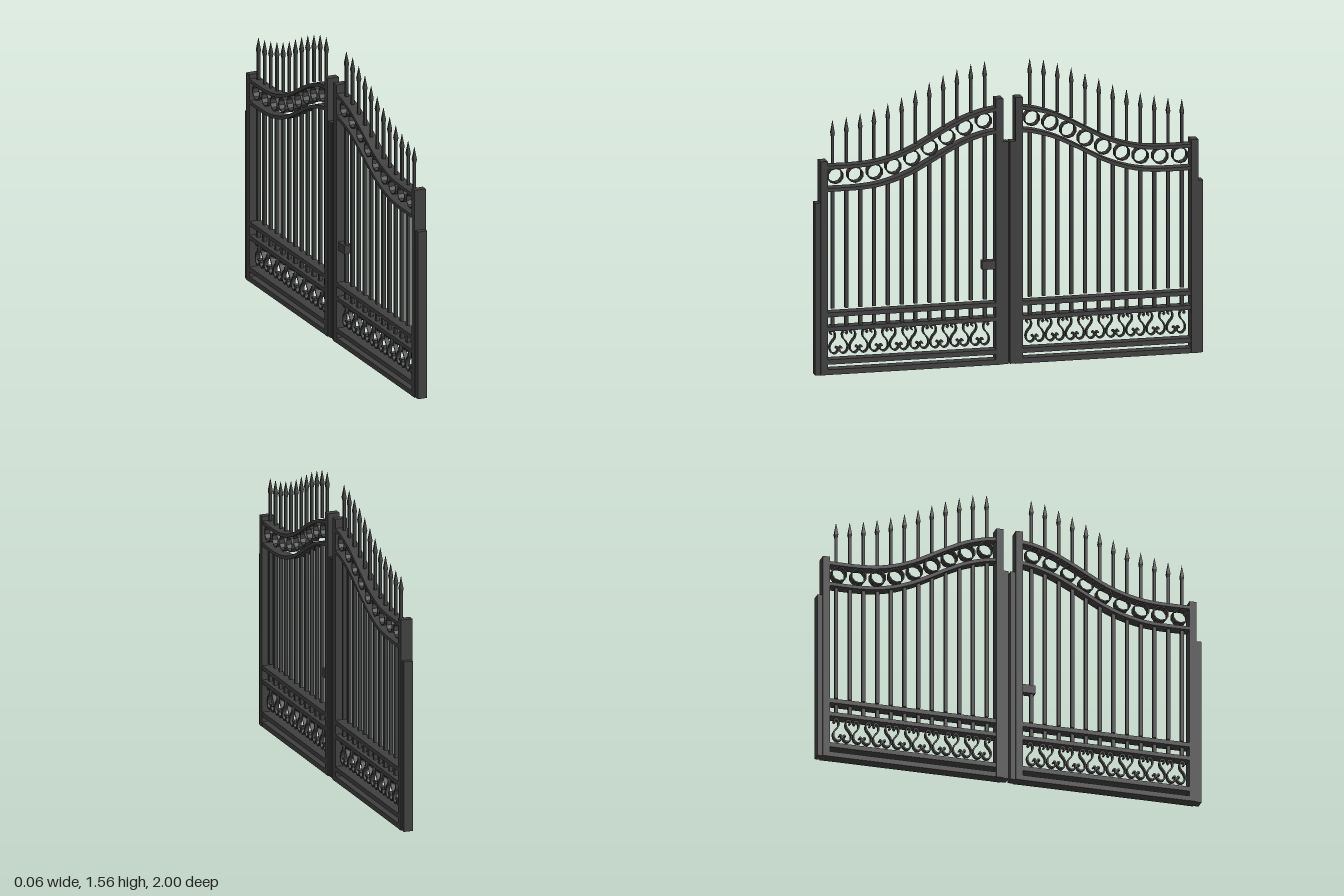
import * as THREE from 'three';

const iron = new THREE.MeshStandardMaterial({ color: 0x3f3f3f });
iron.name = 'dark iron';

const DEPTH = 0.062; // thickness of posts and rails along x
const Z_IN = 0.07, Z_OUT = 0.937; // clear opening of one leaf

// Rise of the swept top rail: [z, height above its low end]
const sweep = new THREE.CatmullRomCurve3([
  [0.94, 0], [0.79, 0], [0.69, 0.008], [0.594, 0.03], [0.497, 0.067],
  [0.406, 0.115], [0.316, 0.164], [0.225, 0.207], [0.128, 0.237], [0.066, 0.247],
].map(([z, y]) => new THREE.Vector3(z, y, 0)));
const sweepPoints = sweep.getPoints(40);

function rise(z) {
  for (let i = 1; i < sweepPoints.length; i++) {
    const a = sweepPoints[i - 1], b = sweepPoints[i];
    if (z <= a.x && z >= b.x) return a.y + (b.y - a.y) * (a.x - z) / (a.x - b.x);
  }
  return z > 0.5 ? 0 : 0.247;
}

function add(group, name, geometry, x = 0, y = 0, z = 0) {
  const mesh = new THREE.Mesh(geometry, iron);
  mesh.name = name;
  mesh.position.set(x, y, z);
  group.add(mesh);
  return mesh;
}

// Box spanning a z range and a y range, centred on x = 0
function slab(group, name, z0, z1, y0, y1, depth) {
  add(group, name, new THREE.BoxGeometry(depth, y1 - y0, Math.abs(z1 - z0)),
    0, (y0 + y1) / 2, (z0 + z1) / 2);
}

// Turn an outline drawn in (z, y) into a plate centred on x = 0
function plate(shape, depth) {
  const g = new THREE.ExtrudeGeometry(shape, { depth, bevelEnabled: false, curveSegments: 10 });
  return g.translate(0, 0, -depth / 2).rotateY(-Math.PI / 2);
}

// Flat bar of constant width following a path in (z, y)
function ribbon(points, width, depth) {
  const left = [], right = [];
  points.forEach((p, i) => {
    const a = points[Math.max(i - 1, 0)], b = points[Math.min(i + 1, points.length - 1)];
    const l = Math.hypot(b.x - a.x, b.y - a.y);
    const nx = -(b.y - a.y) / l * width / 2, ny = (b.x - a.x) / l * width / 2;
    left.push(new THREE.Vector2(p.x + nx, p.y + ny));
    right.unshift(new THREE.Vector2(p.x - nx, p.y - ny));
  });
  return plate(new THREE.Shape([...left, ...right]), depth);
}

// Ten-sided ring
function ringGeometry(outer, inner, depth) {
  const circle = r => Array.from({ length: 10 }, (_, i) => {
    const a = (i + 0.5) * Math.PI / 5;
    return new THREE.Vector2(r * Math.cos(a), r * Math.sin(a));
  });
  const shape = new THREE.Shape(circle(outer));
  shape.holes.push(new THREE.Path(circle(inner)));
  return plate(shape, depth);
}

// Square shaft with a four-sided spear point, base at y = 0
function spike(group, z, y0, y1) {
  const tip = 0.085, parts = new THREE.Group();
  parts.name = 'spike';
  add(parts, 'spikeShaft', new THREE.BoxGeometry(0.014, y1 - y0 - tip, 0.014), 0, (y1 - tip - y0) / 2, 0);
  const h = y1 - y0;
  const collar = new THREE.CylinderGeometry(0.014, 0.0095, 0.02, 4).toNonIndexed();
  const point = new THREE.CylinderGeometry(0.0005, 0.014, tip - 0.02, 4).toNonIndexed();
  for (const g of [collar, point]) { g.rotateY(Math.PI / 4); g.computeVertexNormals(); }
  add(parts, 'spikeCollar', collar, 0, h - tip + 0.01, 0);
  add(parts, 'spikePoint', point, 0, h - (tip - 0.02) / 2, 0);
  parts.position.set(0, y0, z);
  group.add(parts);
}

// One half of a lyre-shaped scroll: inner curl, round belly, neck, outer curl
const scrollHalf = [
  [0.014, 0.131], [0.023, 0.136], [0.028, 0.126], [0.021, 0.112], [0.009, 0.112], [0.003, 0.124],
];
const scrollPath = [
  [0.016, 0.128], [0.011, 0.136], [0.004, 0.128], [0.007, 0.112], [0.023, 0.102], [0.041, 0.113],
  [0.047, 0.137], [0.038, 0.16], [0.022, 0.18], [0.018, 0.2], [0.026, 0.218], [0.038, 0.219],
  [0.044, 0.208], [0.036, 0.201],
];

function buildLeaf(side) {
  const leaf = new THREE.Group();
  leaf.name = side > 0 ? 'leftLeaf' : 'rightLeaf';
  const shift = side > 0 ? 0 : -0.009; // infill sits slightly nearer the middle here
  const box = (name, z0, z1, y0, y1, d = DEPTH) => slab(leaf, name, side * z0, side * z1, y0, y1, d);

  // Posts with shorter edge strips
  box('hingePost', Z_OUT, 0.973, 0, 1.1);
  box('hingeStrip', 0.973, 1.0, 0, 0.887, 0.05);
  box('meetingPost', 0.032, Z_IN, 0, 1.37);
  box('meetingStrip', 0.005, 0.032, 0, 1.145, 0.05);

  // Straight rails
  for (const [y0, y1] of [[0, 0.027], [0.053, 0.078], [0.224, 0.246], [0.297, 0.32]])
    box('straightRail', Z_IN, Z_OUT, y0, y1, 0.06);

  // Swept top rails
  for (const base of [0.952, 1.067]) {
    const path = sweepPoints.map(p => new THREE.Vector2(side * p.x, base + p.y));
    add(leaf, 'sweptRail', ribbon(path, 0.018, 0.06));
  }

  // Rings between the swept rails
  const ring = ringGeometry(0.042, 0.036, 0.04);
  for (const z of [0.893, 0.791, 0.69, 0.594, 0.497, 0.406, 0.316, 0.225, 0.128])
    add(leaf, 'ring', ring, 0, 1.02 + rise(z), side * (z + shift));

  // Upright bars, short bars below them and spikes above
  const tips = [1.305, 1.315, 1.33, 1.35, 1.372, 1.4, 1.435, 1.468, 1.5, 1.527, 1.55, 1.56];
  tips.forEach((tip, i) => {
    const z = 0.905 - i * 0.0713 + shift, w = 0.018 / 2;
    box('bar', z - w, z + w, 0.335, 0.945 + rise(z), 0.018);
    box('shortBar', z - w, z + w, 0.24, 0.3, 0.018);
    spike(leaf, side * z, 1.083 + rise(z), tip);
  });

  // Row of scrolls near the foot
  const curve = new THREE.CatmullRomCurve3(scrollPath.map(([z, y]) => new THREE.Vector3(z, y, 0)));
  const points = curve.getPoints(36);
  const halves = [1, -1].map(m =>
    ribbon(points.map(p => new THREE.Vector2(m * p.x, p.y)), 0.0075, 0.022));
  for (let i = 0; i < 8; i++)
    for (const half of halves)
      add(leaf, 'scroll', half, 0, 0, side * (0.874 - i * 0.104 + shift));

  return leaf;
}

export function createModel() {
  const gate = new THREE.Group();
  gate.name = 'doubleGate';
  const left = buildLeaf(1);
  // Latch beside the meeting post
  slab(left, 'latch', Z_IN, 0.138, 0.49, 0.535, 0.04);
  gate.add(left, buildLeaf(-1));
  return gate;
}
